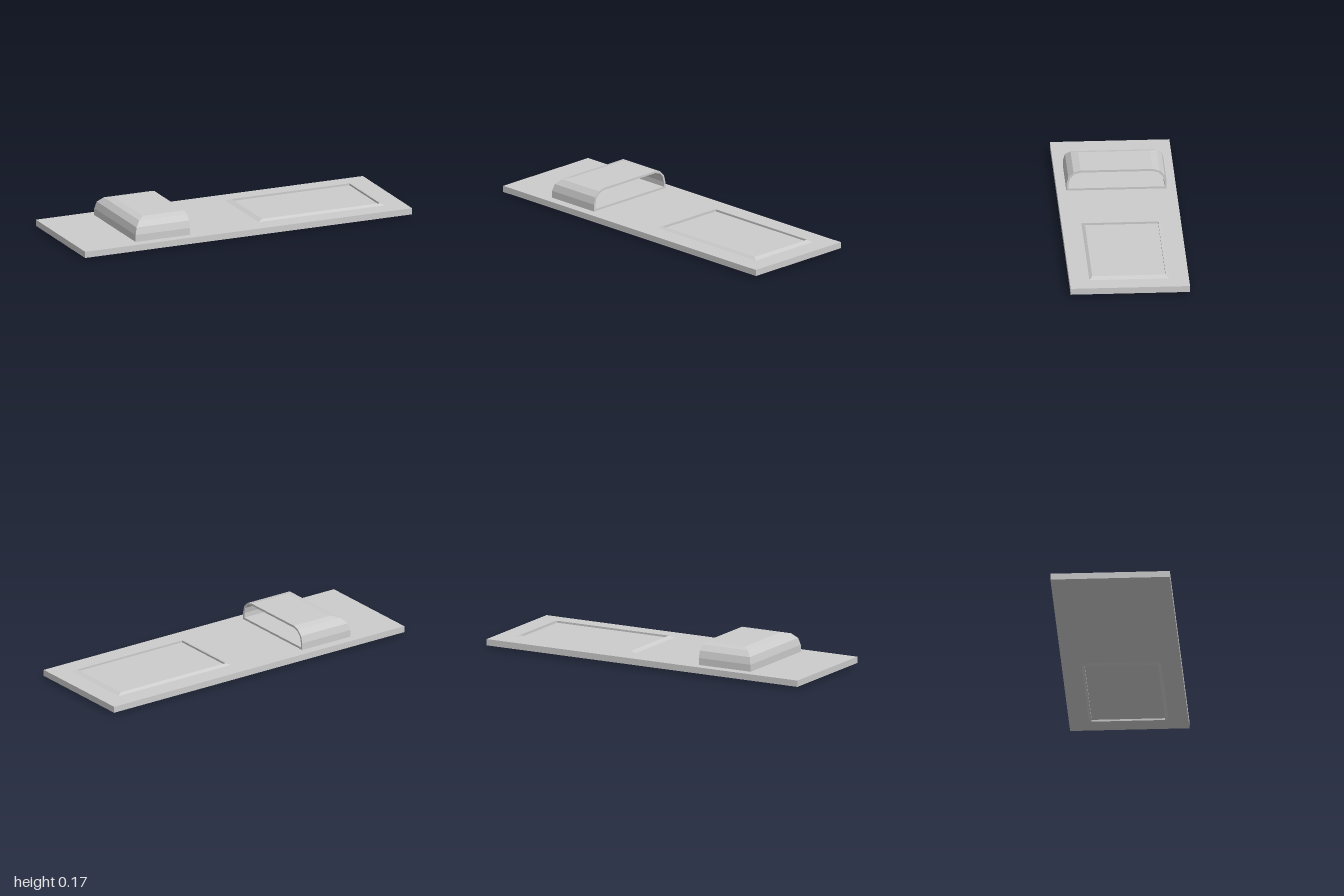
import * as THREE from 'three';

const material = new THREE.MeshStandardMaterial({ color: 0xcccccc, flatShading: true, side: THREE.DoubleSide });
const PLATE_BOTTOM = 0.011, PLATE_TOP = 0.047;

// Flat-shaded mesh from counter-clockwise quads of [x, y, z] corners
function quadMesh(name, quads) {
  const points = quads.flatMap(([a, b, c, d]) => [a, b, c, a, c, d]);
  const geometry = new THREE.BufferGeometry();
  geometry.setAttribute('position', new THREE.Float32BufferAttribute(points.flat(), 3));
  geometry.computeVertexNormals();
  const mesh = new THREE.Mesh(geometry, material);
  mesh.name = name;
  return mesh;
}

// Base slab
function makePlate() {
  const mesh = new THREE.Mesh(new THREE.BoxGeometry(2, PLATE_TOP - PLATE_BOTTOM, 0.667), material);
  mesh.position.y = (PLATE_TOP + PLATE_BOTTOM) / 2;
  mesh.name = 'basePlate';
  return mesh;
}

// Bevelled rim passing through the slab, upright inside and sloping outside
function makeWindowFrame() {
  const section = [
    [0.36, 0.205, 0], [0.36, 0.205, 0.058],
    [0.388, 0.222, PLATE_TOP], [0.388, 0.222, PLATE_BOTTOM],
  ];
  const corners = [[1, 1], [1, -1], [-1, -1], [-1, 1]];
  const at = ([hx, hz, y], [sx, sz]) => [0.5 + sx * hx, y, sz * hz];
  const quads = [];
  corners.forEach((c, i) => {
    const next = corners[(i + 1) % 4];
    section.forEach((s, j) => {
      const t = section[(j + 1) % 4];
      quads.push([at(s, c), at(t, c), at(t, next), at(s, next)]);
    });
  });
  return quadMesh('windowFrame', quads);
}

// Rounded hollow pocket, open towards +x
function makePocket() {
  const xLeft = -0.667, xRight = -0.335, halfZ = 0.28, radius = 0.08, top = 0.167, wall = 0.012;

  // U-shaped rows of points from the foot up to the top
  const shell = (offset, foot) => {
    const r = radius - offset;
    const levels = [[offset, foot]];
    for (let i = 0; i <= 3; i++) {
      const a = i * Math.PI / 6;
      levels.push([radius - r * Math.cos(a), top - radius + r * Math.sin(a)]);
    }
    return levels.map(([inset, y]) => [
      [xRight, y, halfZ - inset], [xLeft + inset, y, halfZ - inset],
      [xLeft + inset, y, inset - halfZ], [xRight, y, inset - halfZ],
    ]);
  };
  const skin = (rows) => {
    const quads = [];
    for (let i = 0; i < rows.length - 1; i++) {
      for (let j = 0; j < 3; j++) {
        quads.push([rows[i][j + 1], rows[i][j], rows[i + 1][j], rows[i + 1][j + 1]]);
      }
    }
    quads.push(rows[rows.length - 1]);
    quads[quads.length - 1] = [...quads[quads.length - 1]].reverse();
    quads[quads.length - 1].reverse();
    // the top is wound to face up
    const [a, b, c, d] = rows[rows.length - 1];
    quads[quads.length - 1] = [a, d, c, b];
    return quads;
  };

  const outer = shell(0, PLATE_TOP), inner = shell(wall, PLATE_TOP + wall);
  const flipped = skin(inner).map((q) => [...q].reverse());
  const [a, b, c, d] = inner[0];

  // Rim joining both shells around the mouth
  const mouth = (rows) => [...rows.map((r) => r[0]), ...rows.map((r) => r[3]).reverse()];
  const o = mouth(outer), n = mouth(inner);
  const rim = o.map((p, i) => {
    const k = (i + 1) % o.length;
    return [p, n[i], n[k], o[k]];
  });

  const group = new THREE.Group();
  group.name = 'pocket';
  group.add(
    quadMesh('pocketShell', skin(outer)),
    quadMesh('pocketLining', [...flipped, [a, d, c, b]]),
    quadMesh('pocketRim', rim),
  );
  return group;
}

export function createModel() {
  const model = new THREE.Group();
  model.name = 'plateWithPocketAndWindow';
  model.add(makePlate(), makeWindowFrame(), makePocket());
  return model;
}
